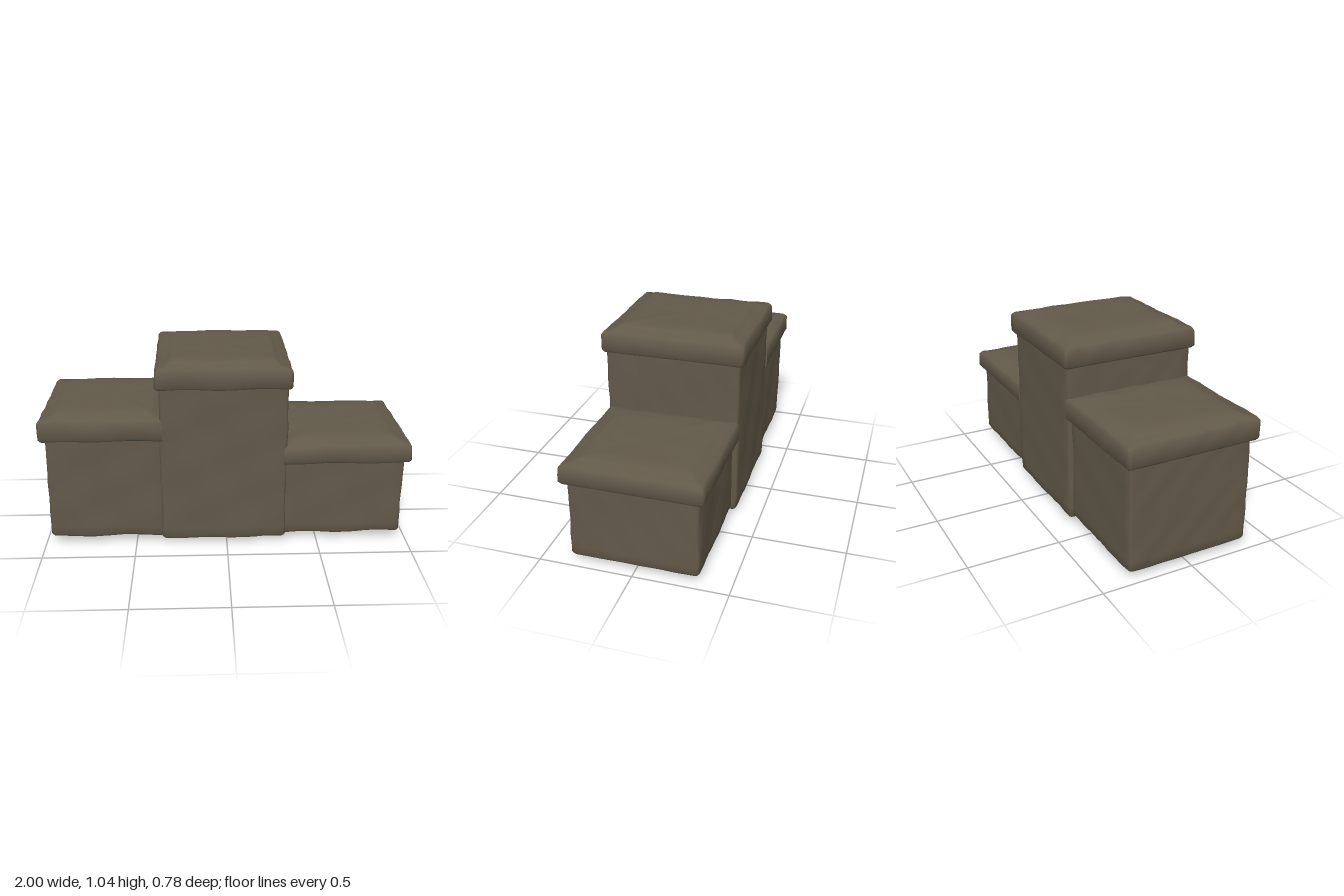
import * as THREE from 'three';
import { toCreasedNormals } from 'three/addons/utils/BufferGeometryUtils.js';

const stone = new THREE.MeshStandardMaterial({ color: 0x625949, side: THREE.DoubleSide });
stone.name = 'weathered stone';

// Soft, repeatable unevenness of the worn surface
const wobble = (x, y, z, k) =>
  0.5 * Math.sin(17 * x + 9 * y + 5 * z + k) +
  0.3 * Math.sin(31 * z - 23 * y + 11 * x + 2 * k) +
  0.2 * Math.sin(47 * x + 41 * y - 37 * z + 3 * k);

// Rounded rectangle as a list of points, many per side
function ring(x0, x1, z0, z1, r) {
  const pts = [], n = 14;
  const corners = [[x1 - r, z1 - r], [x0 + r, z1 - r], [x0 + r, z0 + r], [x1 - r, z0 + r]];
  corners.forEach(([cx, cz], c) => {
    for (let i = 0; i <= 3; i++) {
      const a = (c + i / 3) * Math.PI / 2;
      pts.push([cx + r * Math.cos(a), cz + r * Math.sin(a)]);
    }
    const [px, pz] = pts[pts.length - 1];
    const [nx, nz] = corners[(c + 1) % 4], b = (c + 1) * Math.PI / 2;
    const qx = nx + r * Math.cos(b), qz = nz + r * Math.sin(b);
    for (let i = 1; i < n; i++) pts.push([px + (qx - px) * i / n, pz + (qz - pz) * i / n]);
  });
  return pts;
}

// One hollow block, open below, with an overhanging slab and a raised top
function block(name, o) {
  const { x0, x1, z, bottom, lid, edge, top, over, seed } = o;
  const wall = 0.03, cx = (x0 + x1) / 2;
  // Profile rows: [outward offset, height, scale toward centre]
  const rows = [[-wall, lid, 0], [-wall, lid, 1], [-wall, (lid + bottom) / 2, 1],
    [-wall, bottom + 0.014, 1], [-0.022, bottom, 1], [-0.008, bottom, 1]];
  const steps = Math.round((lid - bottom) / 0.045);
  for (let i = 0; i <= steps; i++) {
    const t = i / steps;
    rows.push([0, bottom + 0.014 + (lid - bottom - 0.014) * t, 1]);
  }
  rows.push([over - 0.008, lid, 1], [over, lid + 0.012, 1], [over, (lid + edge) / 2, 1],
    [over - 0.002, edge - 0.015, 1], [over - 0.014, edge, 1], [over - 0.055, edge + 0.003, 1],
    [over - 0.078, top - 0.006, 1], [over - 0.095, top, 1],
    [over - 0.095, top, 0.7], [over - 0.095, top, 0.35], [over - 0.095, top, 0]);

  const pos = [], index = [];
  let count = 0;
  rows.forEach(([off, y, s], j) => {
    const pts = ring(x0 - off, x1 + off, -z - off, z + off, 0.018);
    count = pts.length;
    pts.forEach(([px, pz]) => {
      // side blocks stop inside the wall of the middle block
      let x = Math.min(o.maxX ?? 9, Math.max(o.minX ?? -9, px));
      x = cx + (x - cx) * s;
      let zz = pz * s, yy = y;
      const w = s === 0 ? 0 : wobble(x, y, zz, seed);
      const clamped = (x === o.minX || x === o.maxX);
      if (!clamped) x += 0.004 * w * Math.sign(px - cx) * s;
      zz += 0.004 * wobble(x, y, zz, seed + 4) * s;
      // ragged lower rim and uneven slab
      if (y < bottom + 0.02) {
        yy += 0.006 * w;
        if (o.sag && px < x0 + 0.05) yy -= o.sag * Math.max(0, 1 - Math.abs(pz) / 0.12);
      } else if (j > 5 && y >= lid) yy += 0.004 * w;
      pos.push(x, yy, zz);
    });
    if (j > 0) for (let i = 0; i < count; i++) {
      const k = (i + 1) % count, a = (j - 1) * count, b = j * count;
      index.push(a + i, b + i, a + k, a + k, b + i, b + k);
    }
  });
  const geo = new THREE.BufferGeometry();
  geo.setAttribute('position', new THREE.Float32BufferAttribute(pos, 3));
  geo.setIndex(index);
  const mesh = new THREE.Mesh(toCreasedNormals(geo, 0.9), stone);
  mesh.name = name;
  return mesh;
}

export function createModel() {
  const group = new THREE.Group();
  group.name = 'steppedPodium';
  group.add(
    block('middleBlock', { x0: -0.357, x1: 0.322, z: 0.366, bottom: 0.035, lid: 0.905,
      edge: 1.015, top: 1.043, over: 0.022, seed: 1, sag: 0.034 }),
    block('rightBlock', { x0: -0.968, x1: -0.342, z: 0.343, bottom: 0.045, lid: 0.62,
      edge: 0.735, top: 0.757, over: 0.031, seed: 2.3, maxX: -0.342 }),
    block('leftBlock', { x0: 0.307, x1: 0.966, z: 0.338, bottom: 0.045, lid: 0.475,
      edge: 0.575, top: 0.597, over: 0.032, seed: 4.1, minX: 0.307 }),
  );
  return group;
}
